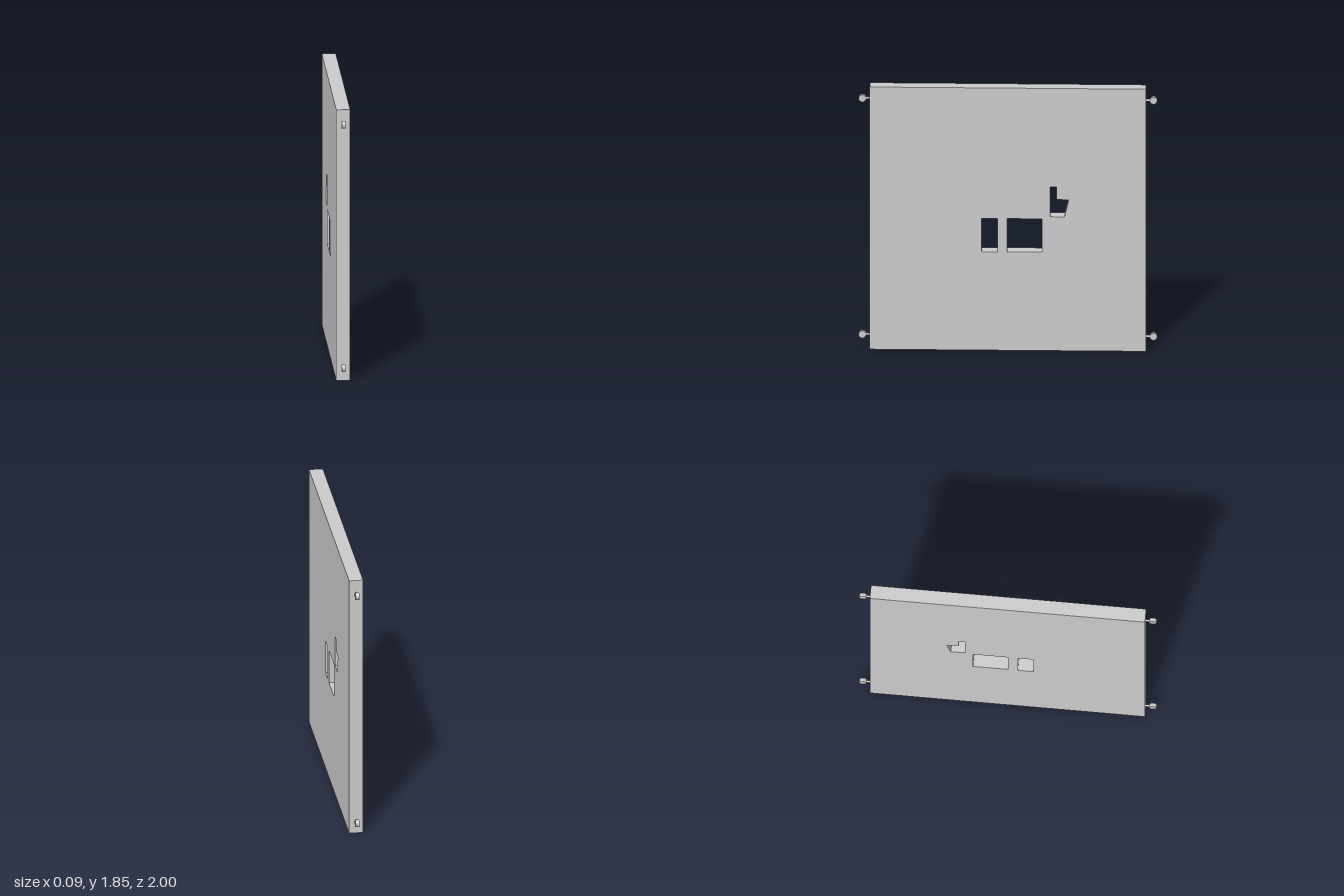
import * as THREE from 'three';

const SIZE = 1.85, HALF = SIZE / 2, THICK = 0.094;

// Outline given as [z, y] corners
const outline = (corners, Type) => new Type(corners.map(([z, y]) => new THREE.Vector2(z, y)));
const rect = (z0, z1, y0, y1) => [[z0, y0], [z1, y0], [z1, y1], [z0, y1]];

export function createModel() {
  const model = new THREE.Group();
  const material = new THREE.MeshStandardMaterial({ color: 0xcccccc });

  const add = (name, geometry, parent = model) => {
    const mesh = new THREE.Mesh(geometry, material);
    mesh.name = name;
    parent.add(mesh);
    return mesh;
  };

  // Square panel with two rectangular windows and one notched cutout
  const shape = outline(rect(-HALF, HALF, 0, SIZE), THREE.Shape);
  shape.holes = [
    rect(0.07, 0.175, 0.694, 0.929),
    rect(-0.23, 0.004, 0.694, 0.929),
    [[-0.284, 1.155], [-0.327, 1.155], [-0.327, 1.068], [-0.407, 1.063], [-0.38, 0.945], [-0.284, 0.945]],
  ].map((corners) => outline(corners, THREE.Path));
  const panel = new THREE.ExtrudeGeometry(shape, { depth: THICK, bevelEnabled: false });
  panel.translate(0, 0, -THICK / 2).rotateY(-Math.PI / 2);
  add('panel', panel);

  // Edge pegs: a thin neck carrying a small disc, near each corner
  const neck = new THREE.CylinderGeometry(0.008, 0.008, 0.045, 16).rotateX(Math.PI / 2);
  const disc = new THREE.CylinderGeometry(0.025, 0.025, 0.026, 24).rotateZ(Math.PI / 2);
  for (const side of [1, -1]) {
    for (const y of [0.092, 1.757]) {
      const peg = new THREE.Group();
      peg.name = `${side > 0 ? 'front' : 'back'}${y < 1 ? 'Lower' : 'Upper'}Peg`;
      add('pegNeck', neck, peg).position.set(0, y, side * 0.937);
      add('pegDisc', disc, peg).position.set(0, y, side * 0.975);
      model.add(peg);
    }
  }
  return model;
}
